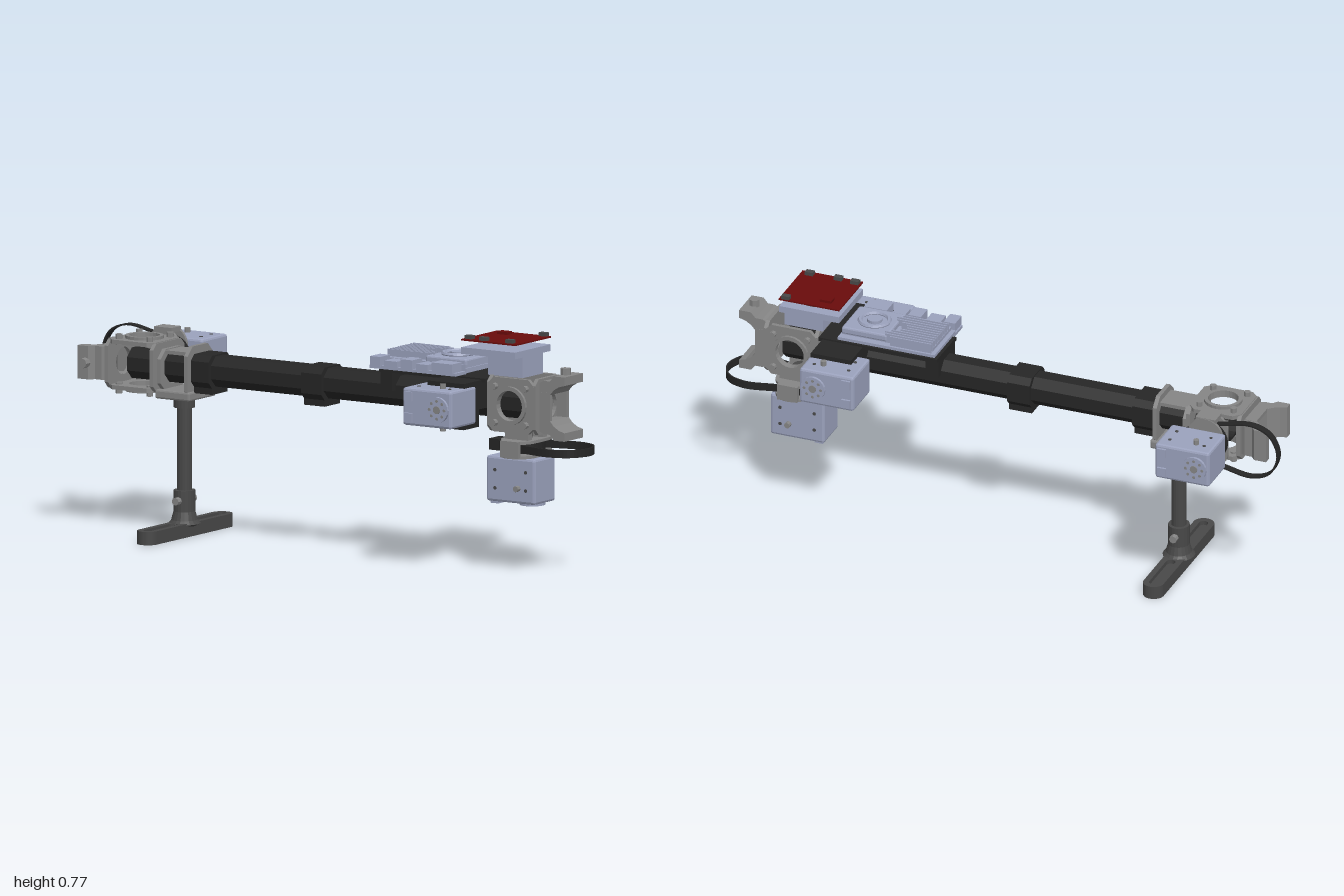
import * as THREE from 'three';
import { RoundedBoxGeometry } from 'three/addons/geometries/RoundedBoxGeometry.js';

const mat = (color) => new THREE.MeshStandardMaterial({ color, flatShading: true, side: THREE.DoubleSide });
const GREY = mat(0x858585), BLUE = mat(0x9ba2bd), BLACK = mat(0x262626), DARK = mat(0x484848), RED = mat(0x6a0c0c);
const AY = 0.555, AZ = 0.027; // centre line of the arm

function add(parent, name, geo, material) {
  const m = new THREE.Mesh(geo, material);
  m.name = name;
  parent.add(m);
  return m;
}
// Box from min/max extents; c > 0 chamfers the edges
function box(parent, name, material, x0, x1, y0, y1, z0, z1, c = 0) {
  const s = [x1 - x0, y1 - y0, z1 - z0];
  const g = c ? new RoundedBoxGeometry(...s, 1, c) : new THREE.BoxGeometry(...s);
  return add(parent, name, g.translate((x0 + x1) / 2, (y0 + y1) / 2, (z0 + z1) / 2), material);
}
function cyl(parent, name, material, axis, r, len, x, y, z, sides = 20) {
  const g = new THREE.CylinderGeometry(r, r, len, sides);
  if (axis === 'x') g.rotateZ(Math.PI / 2);
  if (axis === 'z') g.rotateX(Math.PI / 2);
  return add(parent, name, g.translate(x, y, z), material);
}
const poly = (pts) => new THREE.Shape(pts.map((p) => new THREE.Vector2(...p)));
// Rectangle with cut corners
function cutRect(w, h, c) {
  return poly([[-w + c, -h], [w - c, -h], [w, -h + c], [w, h - c], [w - c, h], [-w + c, h], [-w, h - c], [-w, -h + c]]);
}
function stadium(Cls, x, z0, z1, r) {
  const s = new Cls();
  s.absarc(x, z1 - r, r, 0, Math.PI, false);
  s.absarc(x, z0 + r, r, Math.PI, 2 * Math.PI, false);
  s.closePath();
  return s;
}
function punch(shape, r, x = 0, y = 0) {
  shape.holes.push(new THREE.Path().absarc(x, y, r, 0, Math.PI * 2, true));
  return shape;
}
const extrude = (shape, depth) => new THREE.ExtrudeGeometry(shape, { depth, bevelEnabled: false, curveSegments: 12 });
// Plate facing along x, shape drawn in (z, y)
const plateX = (shape, t, x) => extrude(shape, t).translate(0, 0, -t / 2).rotateY(Math.PI / 2).translate(x, 0, 0);

// Motor, pointing outward along +y from its mount
function makeMotor() {
  const g = new THREE.Group();
  g.name = 'motor';
  box(g, 'motorCase', BLUE, -0.095, 0.095, 0, 0.15, -0.062, 0.062, 0.008);
  cyl(g, 'motorHorn', BLUE, 'y', 0.042, 0.012, 0.045, 0.153, 0);
  cyl(g, 'hornHub', GREY, 'y', 0.013, 0.02, 0.045, 0.152, 0, 12);
  for (let i = 0; i < 8; i++) {
    const a = (i * Math.PI) / 4;
    cyl(g, 'hornScrew', GREY, 'y', 0.005, 0.016, 0.045 + 0.029 * Math.cos(a), 0.153, 0.029 * Math.sin(a), 8);
  }
  for (const s of [-1, 1]) {
    for (const x of [-0.06, 0.06]) for (const y of [0.045, 0.105]) cyl(g, 'caseScrew', DARK, 'z', 0.006, 0.004, x, y, s * 0.062, 8);
    box(g, 'cableSocket', BLUE, -0.085, -0.055, 0.146, 0.158, s * 0.035 - 0.015, s * 0.035 + 0.015);
    cyl(g, 'mountScrew', GREY, 'z', 0.01, 0.02, 0.03, 0.1, s * 0.068, 8);
  }
  return g;
}

// End joint, extending outward along +x, motor hanging down
function makeJoint(name) {
  const g = new THREE.Group();
  g.name = name;
  for (const s of [-1, 1]) {
    // side plates with round windows
    const side = extrude(punch(cutRect(0.09, 0.09, 0.022), 0.05), 0.014).translate(0.74, 0, s * 0.075 - 0.007);
    add(g, 'sidePlate', side, GREY);
    const ring = punch(new THREE.Shape().absarc(0, 0, 0.063, 0, Math.PI * 2), 0.05);
    add(g, 'windowRim', extrude(ring, 0.012).translate(0.74, 0, s * 0.086 - 0.006), GREY);
    for (const x of [0.68, 0.8]) for (const y of [-0.06, 0.06]) cyl(g, 'plateBolt', GREY, 'z', 0.011, 0.036, x, y, s * 0.08, 8);
    // claw prongs with a concave mouth
    const prong = poly([[0.825, 0.043], [0.875, 0.043], [0.89, 0.06], [0.91, 0.072], [0.932, 0.078], [0.932, 0.106],
      [0.89, 0.106], [0.875, 0.088], [0.85, 0.088], [0.825, 0.075]].map(([x, y]) => [x, y * s]));
    add(g, 'clawProng', extrude(prong, 0.11).translate(0, 0, -0.055), GREY);
    box(g, 'clawCheek', GREY, 0.825, 0.875, -0.05, 0.05, s * 0.05 - 0.006, s * 0.05 + 0.006);
  }
  // ring-holed end plates
  for (const x of [0.652, 0.828]) add(g, 'endPlate', plateX(punch(cutRect(0.08, 0.092, 0.02), 0.045), 0.014, x), GREY);
  cyl(g, 'clawScrew', GREY, 'y', 0.017, 0.025, 0.9, 0.115, 0, 8);

  // pulley carrier, pulley and motor
  for (const y of [-0.115, -0.163]) {
    const plate = extrude(stadium(THREE.Shape, 0.745, -0.1, 0.1, 0.06), 0.01).rotateX(Math.PI / 2).translate(0, y, 0);
    add(g, 'pulleyPlate', plate, GREY);
  }
  for (const s of [-1, 1]) {
    box(g, 'carrierPost', GREY, 0.71, 0.78, -0.17, -0.115, s * 0.093 - 0.008, s * 0.093 + 0.008);
    box(g, 'carrierLeg', GREY, 0.7, 0.79, -0.12, -0.08, s * 0.045 - 0.012, s * 0.045 + 0.012);
  }
  cyl(g, 'pulley', BLACK, 'y', 0.072, 0.034, 0.735, -0.142, 0, 24);
  box(g, 'beltGuide', BLACK, 0.62, 0.67, -0.162, -0.125, -0.03, 0.03);
  cyl(g, 'driveShaft', DARK, 'y', 0.03, 0.1, 0.735, -0.135, 0, 16);
  const motor = makeMotor();
  motor.rotation.x = Math.PI;
  motor.position.set(0.725, -0.175, 0);
  g.add(motor);

  // toothed belt as a thin teardrop band
  const half = [[0.69, 0.05], [0.81, 0.083], [0.9, 0.097], [0.965, 0.07]];
  const pts = [[0.64, 0], ...half, [0.994, 0], ...half.slice().reverse().map(([x, z]) => [x, -z])];
  const loop = new THREE.CatmullRomCurve3(pts.map(([x, z]) => new THREE.Vector3(x, z, 0)), true).getPoints(60).slice(0, 60);
  const belt = poly(loop.map((p) => [p.x, p.y]));
  belt.holes.push(new THREE.Path(loop.map((p) => new THREE.Vector2(0.82 + (p.x - 0.82) * 0.965, p.y * 0.95))));
  add(g, 'belt', extrude(belt, 0.026).rotateX(Math.PI / 2).translate(0, -0.129, 0), BLACK);
  return g;
}

function makeArm() {
  const g = new THREE.Group();
  g.name = 'arm';
  // hollow eight-sided beam with an inner shaft
  const tube = punch(cutRect(0.052, 0.05, 0.028), 0.044);
  add(g, 'beam', plateX(tube, 1.56, 0), BLACK);
  cyl(g, 'innerShaft', BLACK, 'x', 0.02, 1.5, 0, 0, 0, 8);
  for (const x of [-0.487, -0.052]) {
    const w = x < -0.2 ? 0.07 : 0.08;
    add(g, 'beamClamp', plateX(punch(cutRect(0.065, 0.054, 0.02), 0.045), w, x), BLACK);
    box(g, 'clampFoot', BLACK, x - w / 2, x + w / 2, -0.075, -0.048, -0.045, 0.045);
  }
  return g;
}

function makeLeg() {
  const g = new THREE.Group();
  g.name = 'leg';
  const x = -0.59;
  // slotted foot bar with a thin web
  const foot = stadium(THREE.Shape, x, -0.228, 0.277, 0.035);
  foot.holes.push(stadium(THREE.Path, x, -0.208, -0.03, 0.015), stadium(THREE.Path, x, 0.08, 0.257, 0.015));
  add(g, 'foot', extrude(foot, 0.044).rotateX(Math.PI / 2).translate(0, 0.044, 0), DARK);
  box(g, 'footWeb', DARK, x - 0.02, x + 0.02, 0.015, 0.03, -0.21, 0.26);
  const profile = [[0.034, 0.03], [0.056, 0.04], [0.045, 0.052], [0.037, 0.08], [0.037, 0.15], [0.024, 0.15]];
  const socket = new THREE.LatheGeometry(profile.map((p) => new THREE.Vector2(...p)), 20);
  add(g, 'socket', socket.scale(0.95, 1, 1).translate(x, 0, AZ), DARK);
  cyl(g, 'pole', DARK, 'y', 0.025, 0.36, x, 0.29, AZ);
  cyl(g, 'poleCollar', DARK, 'y', 0.035, 0.035, x, 0.44, AZ);
  cyl(g, 'crossBolt', GREY, 'z', 0.013, 0.11, x, 0.117, AZ, 8);
  // saddle holding the beam
  box(g, 'saddle', GREY, -0.655, -0.52, 0.455, 0.485, -0.055, 0.105, 0.006);
  for (const px of [-0.535, -0.64]) {
    const plate = plateX(punch(cutRect(0.075, px > -0.6 ? 0.088 : 0.07, 0.03), 0.046), 0.014, px);
    add(g, 'saddlePlate', plate.translate(0, AY - 0.01, AZ), GREY);
  }
  box(g, 'saddleTop', GREY, -0.64, -0.535, 0.6, 0.612, -0.02, 0.075);
  return g;
}

function makeElectronics() {
  const g = new THREE.Group();
  g.name = 'electronics';
  // tray
  box(g, 'tray', BLACK, 0.225, 0.64, 0.622, 0.635, -0.06, 0.11);
  box(g, 'trayPost', BLACK, 0.225, 0.27, 0.56, 0.625, -0.045, 0.1);
  // finned controller
  box(g, 'controllerBoard', BLUE, 0.225, 0.565, 0.652, 0.662, -0.08, 0.105);
  box(g, 'heatSink', BLUE, 0.24, 0.56, 0.645, 0.672, -0.055, 0.105);
  for (let i = 0; i < 11; i++) {
    const z = -0.072 + i * 0.015;
    box(g, 'fin', BLUE, 0.24, 0.385 + 0.03 * Math.sin(i * 0.9), 0.655, 0.695, z, z + 0.005);
  }
  box(g, 'fanBlock', BLUE, 0.4, 0.56, 0.665, 0.69, -0.06, 0.1, 0.006);
  add(g, 'fanRim', new THREE.TorusGeometry(0.048, 0.008, 6, 24).rotateX(Math.PI / 2).translate(0.475, 0.693, 0.02), BLUE);
  cyl(g, 'fanHub', BLUE, 'y', 0.025, 0.016, 0.475, 0.692, 0.02);
  box(g, 'connectorStrip', BLUE, 0.225, 0.56, 0.642, 0.652, 0.1, 0.165);
  [[0.23, 0.27], [0.285, 0.335], [0.35, 0.395], [0.41, 0.455], [0.47, 0.55]].forEach(([a, b], i) =>
    box(g, 'connector', BLUE, a, b, 0.648, i % 2 ? 0.672 : 0.682, 0.112, 0.17));
  // drive module and its plate
  box(g, 'driveModule', BLUE, 0.635, 0.77, 0.645, 0.718, -0.035, 0.085);
  box(g, 'modulePlate', BLUE, 0.56, 0.77, 0.713, 0.735, -0.08, 0.13);
  // red circuit board with components
  box(g, 'circuitBoard', RED, 0.56, 0.772, 0.757, 0.762, -0.08, 0.13);
  [[0.58, 0.11], [0.64, 0.115], [0.74, 0.112], [0.75, -0.07]].forEach(([x, z]) =>
    box(g, 'component', DARK, x - 0.014, x + 0.014, 0.76, 0.774, z - 0.01, z + 0.01));
  box(g, 'redSocket', RED, 0.6, 0.64, 0.76, 0.771, -0.05, -0.02);
  for (const z of [-0.06, 0.0, 0.03, 0.06]) box(g, 'underChip', DARK, 0.65, 0.68, 0.75, 0.758, z - 0.01, z + 0.01);
  return g;
}

export function createModel() {
  const root = new THREE.Group();
  root.name = 'motorisedArm';
  const arm = makeArm();
  arm.position.set(0, AY, AZ);
  const right = makeJoint('leftJoint');
  right.position.set(0, AY, AZ);
  // opposite joint: turned end for end and rolled a quarter turn
  const far = makeJoint('rightJoint');
  far.rotation.set(Math.PI / 2, Math.PI, 0);
  far.position.set(-0.006, AY, AZ);
  root.add(arm, right, far, makeLeg(), makeElectronics());

  // side motors and their brackets
  for (const s of [-1, 1]) {
    const z = (d) => AZ + s * d;
    const [a, b] = [z(0.1), z(0.188)].sort((p, q) => p - q);
    box(root, 'motorBracket', BLACK, 0.485, 0.627, 0.478, 0.63, a, b);
    const [c, d] = [z(0.04), z(0.11)].sort((p, q) => p - q);
    box(root, 'bracketArm', BLACK, 0.485, 0.627, 0.535, 0.63, c, d);
    const motor = makeMotor();
    motor.rotation.x = (s * Math.PI) / 2;
    motor.position.set(0.538, 0.553, z(0.123));
    root.add(motor);
  }
  return root;
}
